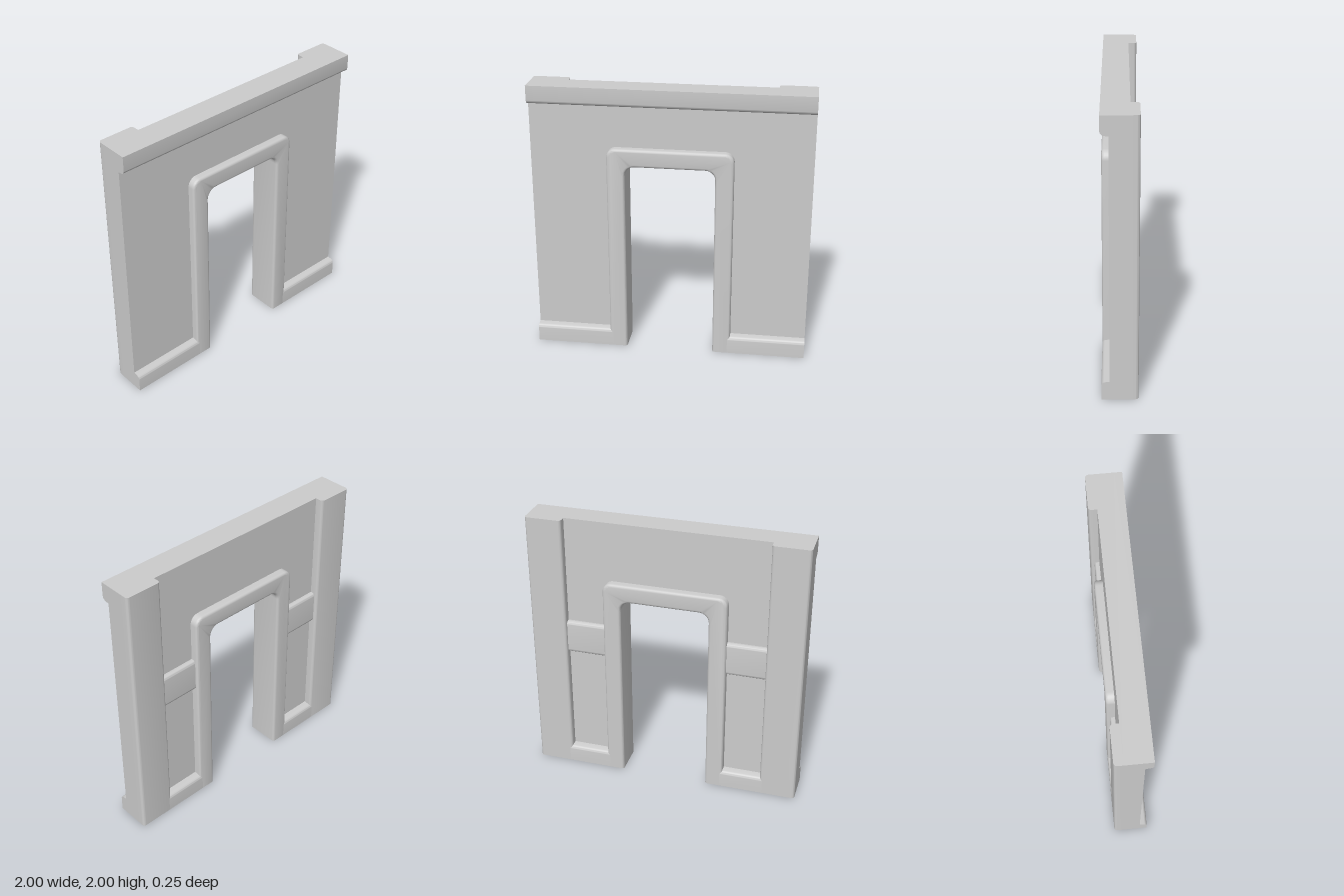
import * as THREE from 'three';
import { toCreasedNormals } from 'three/addons/utils/BufferGeometryUtils.js';

const FRONT = 0.125, WALL_FRONT = 0.07, WALL_BACK = -0.065, BACK = -0.125;
const material = new THREE.MeshStandardMaterial({ color: 0xcccccc });

function makeMesh(name, geometry) {
  const mesh = new THREE.Mesh(toCreasedNormals(geometry, 0.6), material);
  mesh.name = name;
  return mesh;
}

// Outline from [x, y] corners; a third value rounds that corner by that radius
function outline(points) {
  const shape = new THREE.Shape();
  points.forEach(([x, y, r = 0], i) => {
    const p = new THREE.Vector2(x, y);
    const toward = (q) => p.clone().add(new THREE.Vector2(q[0], q[1]).sub(p).setLength(r));
    const a = toward(points[(i + points.length - 1) % points.length]);
    const b = toward(points[(i + 1) % points.length]);
    if (i === 0) shape.moveTo(a.x, a.y); else shape.lineTo(a.x, a.y);
    if (r) {
      // circular-looking corner
      const k = 0.55;
      const c = a.clone().lerp(p, k), d = b.clone().lerp(p, k);
      shape.bezierCurveTo(c.x, c.y, d.x, d.y, b.x, b.y);
    }
  });
  shape.closePath();
  return shape;
}

function extrude(shape, depth, extra = {}) {
  return new THREE.ExtrudeGeometry(shape, { depth, bevelEnabled: false, curveSegments: 8, ...extra });
}

// Moulding with a [z, y] section running along x
function moulding(name, section, x0, x1) {
  const shape = outline(section.map(([z, y, r]) => [-z, y, r]));
  return makeMesh(name, extrude(shape, x1 - x0).rotateY(Math.PI / 2).translate(x0, 0, 0));
}

// Upright with an [x, z] section running along y
function upright(name, section, height) {
  const shape = outline(section.map(([x, z, r]) => [x, -z, r]));
  return makeMesh(name, extrude(shape, height).rotateX(-Math.PI / 2));
}

export function createModel() {
  const group = new THREE.Group();
  group.name = 'doorwayWall';

  // Wall panel with the door cut out
  const wall = outline([[-1, 0], [-0.4, 0], [-0.4, 1.5], [0.4, 1.5], [0.4, 0], [1, 0], [1, 2], [-1, 2]]);
  group.add(makeMesh('wallPanel',
    extrude(wall, WALL_FRONT - WALL_BACK).translate(0, 0, WALL_BACK)));

  // Rounded door frame, trimmed flat at the floor
  const bevel = 0.02;
  const frame = outline([
    [-0.45, -0.1], [-0.45, 1.565, 0.065], [0.45, 1.565, 0.065], [0.45, -0.1],
    [0.32, -0.1], [0.32, 1.435, 0.07], [-0.32, 1.435, 0.07], [-0.32, -0.1],
  ]);
  const frameGeometry = extrude(frame, FRONT - BACK - 2 * bevel, {
    bevelEnabled: true, bevelSize: bevel, bevelThickness: bevel, bevelOffset: -bevel, bevelSegments: 4,
  }).translate(0, 0, BACK + bevel);
  const position = frameGeometry.attributes.position;
  for (let i = 0; i < position.count; i++) position.setY(i, Math.max(0, position.getY(i)));
  group.add(makeMesh('doorFrame', frameGeometry));

  // Cornice across the front
  group.add(moulding('cornice',
    [[WALL_FRONT, 2], [FRONT, 2], [FRONT, 1.873, 0.026], [WALL_FRONT, 1.865]], -1, 1));

  for (const side of [1, -1]) {
    const label = side > 0 ? 'left' : 'right';
    const span = (a, b) => (side > 0 ? [a, b] : [-b, -a]);

    // Skirting boards, front and back
    group.add(moulding(label + 'FrontSkirting',
      [[WALL_FRONT, 0], [FRONT, 0], [FRONT, 0.13, 0.024], [WALL_FRONT, 0.138]], ...span(0.43, 1)));
    group.add(moulding(label + 'BackSkirting',
      [[WALL_BACK, 0], [BACK, 0], [BACK, 0.13, 0.024], [WALL_BACK, 0.138]], ...span(0.43, 0.755)));

    // Rail across the recess at the back
    group.add(moulding(label + 'BackRail',
      [[WALL_BACK, 0.96], [-0.1, 0.96, 0.024], [-0.1, 1.21, 0.024], [WALL_BACK, 1.21]], ...span(0.44, 0.745)));

    // Pilaster at the outer edge of the back
    group.add(upright(label + 'Pilaster',
      [[side * 0.735, WALL_BACK], [side, WALL_BACK], [side, BACK, 0.022], [side * 0.735, BACK, 0.022]], 2));
  }
  return group;
}
